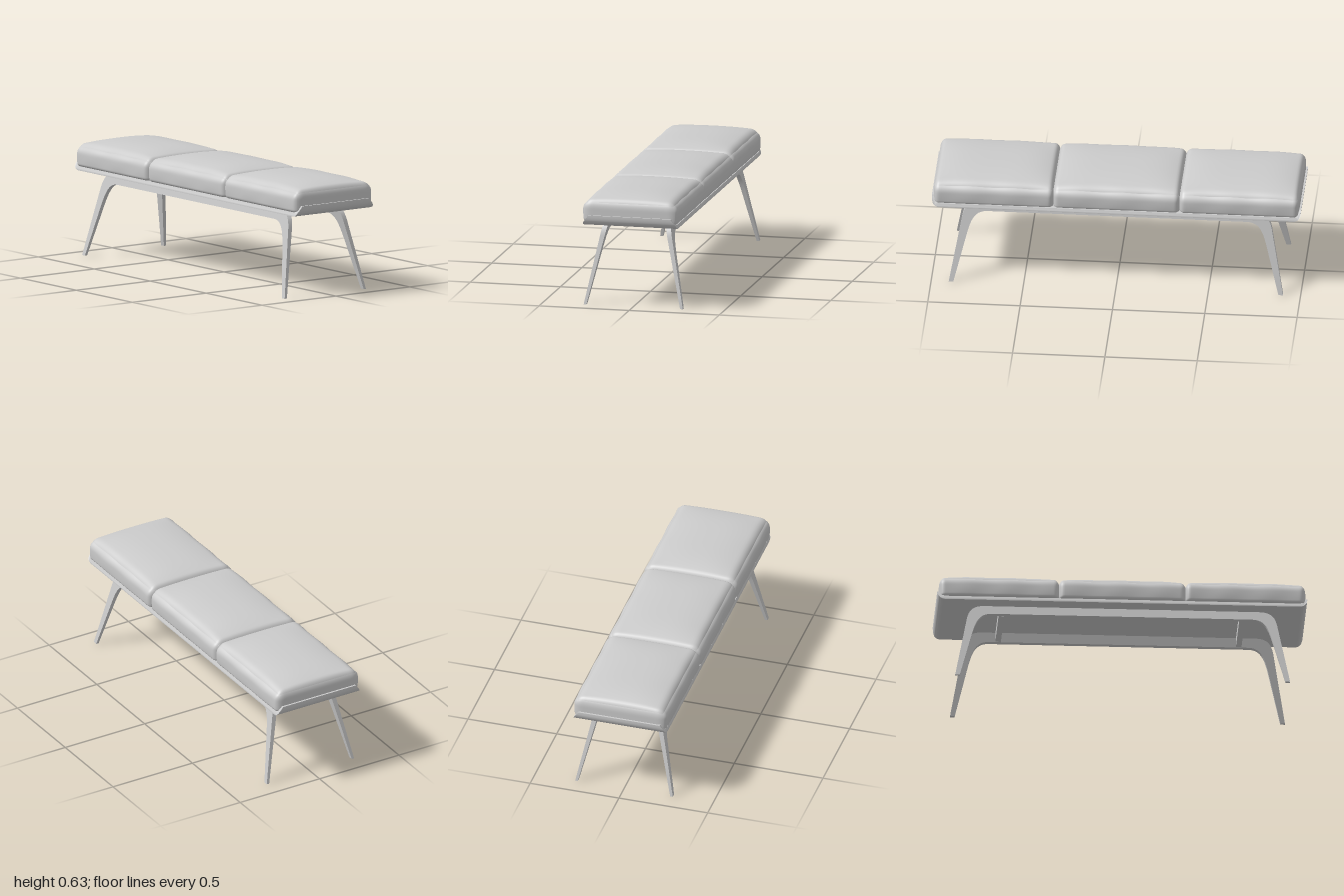
import * as THREE from 'three';
import { mergeVertices, toCreasedNormals } from 'three/addons/utils/BufferGeometryUtils.js';

const material = new THREE.MeshStandardMaterial({ color: 0xcccccc });

function part(group, name, geometry) {
  const mesh = new THREE.Mesh(geometry, material);
  mesh.name = name;
  group.add(mesh);
  return mesh;
}

// Move every vertex of a geometry by a rule
function reshape(geometry, rule) {
  const p = geometry.attributes.position;
  const v = new THREE.Vector3();
  for (let i = 0; i < p.count; i++) {
    rule(v.fromBufferAttribute(p, i));
    p.setXYZ(i, v.x, v.y, v.z);
  }
  return geometry;
}

// Extrude a side profile (z, y) one unit across x, spanning x = -1..0
function acrossX(shape) {
  const g = new THREE.ExtrudeGeometry(shape, { depth: 1, bevelEnabled: false, curveSegments: 14 });
  return g.rotateY(-Math.PI / 2);
}

function creased(geometry) {
  geometry.computeVertexNormals();
  return toCreasedNormals(geometry, 0.6);
}

// Soft block: rounded edges, crowned top and slightly bulging, creased sides
function cushionGeometry(z0, z1, seed) {
  let g = new THREE.BoxGeometry(2, 2, 2, 36, 24, 48);
  g.deleteAttribute('normal');
  g.deleteAttribute('uv');
  g = mergeVertices(g);
  const hx = 0.258, hz = (z1 - z0) / 2, hy = 0.064, midY = 0.533;
  const round = new THREE.Vector3();
  reshape(g, (v) => {
    const spread = (t) => Math.sin(t * Math.PI / 2);
    const a = spread(v.x), b = spread(v.y), c = spread(v.z);
    const ry = b > 0 ? 0.05 : 0.02;
    // offsets beyond the inner box, measured in corner radii
    const over = (t, h, r) => Math.sign(t) * Math.max(0, Math.abs(t) * h - (h - r)) / r;
    round.set(over(a, hx, 0.05), over(b, hy, ry), over(c, hz, 0.03));
    const inner = (t, h, r) => THREE.MathUtils.clamp(t * h, r - h, h - r);
    const biggest = Math.max(Math.abs(round.x), Math.abs(round.y), Math.abs(round.z));
    if (biggest > 0) round.multiplyScalar(biggest / round.length());
    v.set(
      inner(a, hx, 0.05) + round.x * 0.05,
      midY + inner(b, hy, ry) + round.y * ry,
      (z0 + z1) / 2 + inner(c, hz, 0.03) + round.z * 0.03
    );
    const crown = (1 - Math.abs(a) ** 2.5) * (1 - Math.abs(c) ** 4);
    v.y += Math.max(0, b) * 0.03 * crown;
    const wrinkle = 0.002 * Math.sin(c * 9 + seed) * Math.abs(a) ** 6;
    v.x += a * (1 - b * b) * 0.006 + Math.sign(a) * wrinkle * (1 - b * b);
    v.y += Math.max(0, b) * wrinkle;
  });
  g.computeVertexNormals();
  return g;
}

// Seat tray: thin board whose two ends roll upward
function trayGeometry() {
  const s = new THREE.Shape();
  s.moveTo(-0.955, 0.455);
  s.lineTo(0.955, 0.455);
  s.bezierCurveTo(0.985, 0.455, 1, 0.475, 1, 0.513);
  s.lineTo(0.982, 0.513);
  s.bezierCurveTo(0.982, 0.485, 0.97, 0.476, 0.945, 0.476);
  s.lineTo(-0.945, 0.476);
  s.bezierCurveTo(-0.97, 0.476, -0.982, 0.485, -0.982, 0.513);
  s.lineTo(-1, 0.513);
  s.bezierCurveTo(-1, 0.475, -0.985, 0.455, -0.955, 0.455);
  return creased(reshape(acrossX(s), (v) => {
    // the rolled ends narrow toward their top edge
    const half = 0.26 - 0.032 * THREE.MathUtils.smoothstep(v.y, 0.462, 0.52);
    v.x = (v.x * 2 + 1) * half;
  }));
}

// Leg, rail and leg in one bent piece, leaning outward toward the floor
function sideFrameGeometry(side) {
  const s = new THREE.Shape();
  s.moveTo(0.905, 0);
  s.lineTo(0.838, 0.37);
  s.bezierCurveTo(0.825, 0.43, 0.8, 0.453, 0.74, 0.453);
  s.lineTo(-0.74, 0.453);
  s.bezierCurveTo(-0.8, 0.453, -0.825, 0.43, -0.838, 0.37);
  s.lineTo(-0.905, 0);
  s.lineTo(-0.88, 0);
  s.lineTo(-0.812, 0.27);
  s.bezierCurveTo(-0.79, 0.355, -0.77, 0.403, -0.7, 0.403);
  s.lineTo(0.7, 0.403);
  s.bezierCurveTo(0.77, 0.403, 0.79, 0.355, 0.812, 0.27);
  s.lineTo(0.88, 0);
  return creased(reshape(acrossX(s), (v) => {
    const t = v.y / 0.453;
    const outer = THREE.MathUtils.lerp(0.275, 0.183, t);
    const inner = THREE.MathUtils.lerp(0.26, 0.155, t);
    const start = side > 0 ? inner : -outer;
    v.x = start + (v.x + 1) * (outer - inner);
  }));
}

export function createModel() {
  const model = new THREE.Group();
  model.name = 'bench';

  // Three seat cushions meeting at narrow seams
  const seams = [-0.99, -0.342, 0.342, 0.99];
  ['backCushion', 'middleCushion', 'frontCushion'].forEach((name, i) => {
    part(model, name, cushionGeometry(seams[i] - (i ? 0.004 : 0), seams[i + 1] + (i < 2 ? 0.004 : 0), i * 2.1));
  });

  part(model, 'seatTray', trayGeometry());

  // Mirrored side frames
  part(model, 'leftLegFrame', sideFrameGeometry(1));
  part(model, 'rightLegFrame', sideFrameGeometry(-1));

  // Cross bars between the rails
  for (const end of [-1, 1]) {
    const bar = part(model, end > 0 ? 'frontCrossBar' : 'backCrossBar', new THREE.BoxGeometry(0.326, 0.049, 0.03));
    bar.position.set(0, 0.4285, end * 0.65);
  }
  return model;
}
